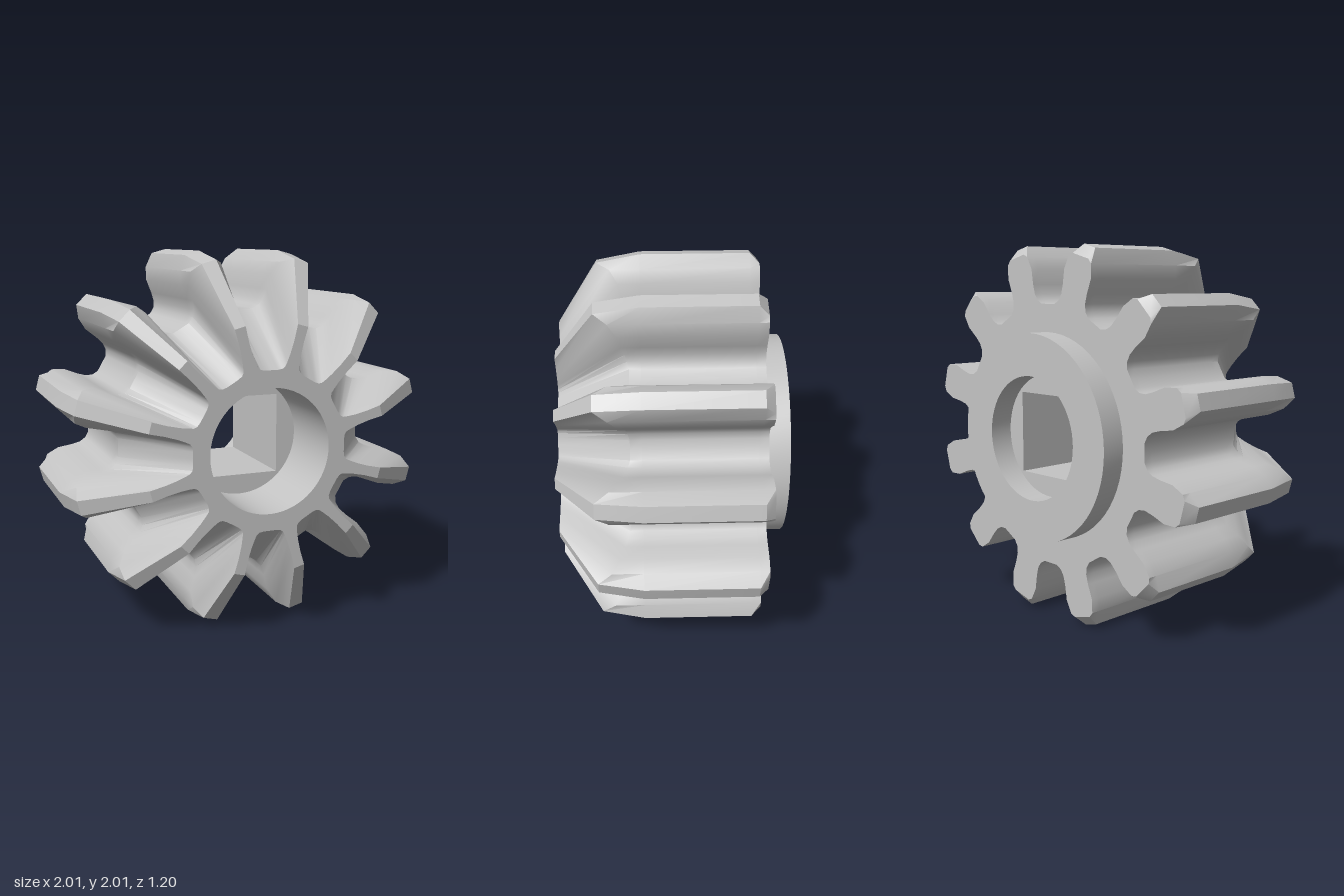
import * as THREE from 'three';
import { toCreasedNormals } from 'three/addons/utils/BufferGeometryUtils.js';

const TEETH = 12, BORE = 0.33, HUB = 0.553, FRONT = 0.6, BACK = -0.47;

// Half of a tooth gap (x from its middle, y from the axis), root to tip
const flank = [[0, 0.7], [0.05, 0.7], [0.083, 0.718], [0.105, 0.75],
  [0.118, 0.8], [0.13, 0.88], [0.165, 0.945]];
const frontGap = [[0, 0.42], [0.035, 0.42], [0.06, 0.424], [0.075, 0.435],
  [0.086, 0.458], [0.103, 0.5], [0.124, 0.567], [0.142, 0.645]];
const atDepth = (gap, z) => gap.map(([x, y]) => [x, y, z]);

// Curved ridge where the tapered front meets the straight teeth
const ridgeDepth = [0.22, 0.22, 0.23, 0.24, 0.255, 0.275, 0.32];
const ridge = [...flank.map(([x, y], i) => [x, y, ridgeDepth[i]]), [0.216, 0.962, 0.39]];

// Cross-sections from the front to the chamfered back
const sections = [
  atDepth(frontGap, FRONT),
  ridge,
  atDepth([...flank, [0.225, 1.003]], 0.16),
  atDepth([...flank, [0.225, 1.003]], -0.42),
  atDepth([...flank, [0.195, 0.957]], BACK),
];

// Mirror the half gap and repeat it clockwise around the axis
function outline(gap) {
  const whole = [...gap.slice(1).reverse().map(([x, y, z]) => [-x, y, z]), ...gap];
  const points = [];
  for (let k = 0; k < TEETH; k++) {
    const a = (k / TEETH) * Math.PI * 2, c = Math.cos(a), s = Math.sin(a);
    for (const [x, y, z] of whole) points.push(new THREE.Vector3(x * c + y * s, y * c - x * s, z));
  }
  return points;
}

// Skin the cross-sections together
function loftTeeth() {
  const rings = sections.map(outline), n = rings[0].length, index = [];
  for (let i = 0; i < rings.length - 1; i++) {
    for (let j = 0; j < n; j++) {
      const a = i * n + j, b = i * n + (j + 1) % n;
      index.push(a, b, a + n, b, b + n, a + n);
    }
  }
  const geometry = new THREE.BufferGeometry().setFromPoints(rings.flat());
  geometry.setIndex(index);
  return toCreasedNormals(geometry, 0.6);
}

function circle(radius, Type = THREE.Path) {
  return new Type().absarc(0, 0, radius, 0, Math.PI * 2, false);
}

function faceWithBore(gap) {
  const shape = new THREE.Shape(outline(gap));
  shape.holes.push(circle(BORE));
  return new THREE.ShapeGeometry(shape, 32);
}

function slab(shape, hole, z0, z1) {
  shape.holes.push(hole);
  const geometry = new THREE.ExtrudeGeometry(shape, {
    depth: z1 - z0, bevelEnabled: false, curveSegments: 32,
  }).translate(0, 0, z0);
  return toCreasedNormals(geometry, 0.5);
}

export function createModel() {
  const model = new THREE.Group();
  model.name = 'pinionGear';
  const gear = new THREE.Group();
  gear.name = 'gear';
  gear.position.y = 1;
  model.add(gear);

  const metal = new THREE.MeshStandardMaterial({ color: 0xc4c4c4 });
  metal.name = 'greyMetal';
  const add = (name, geometry) => {
    const mesh = new THREE.Mesh(geometry, metal);
    mesh.name = name;
    gear.add(mesh);
  };

  // Toothed body and its two end faces
  add('teeth', loftTeeth());
  add('frontFace', faceWithBore(sections[0]).translate(0, 0, FRONT));
  add('backFace', faceWithBore(sections.at(-1)).rotateY(Math.PI).translate(0, 0, BACK));

  // Raised ring behind the body
  add('rearHub', slab(circle(HUB, THREE.Shape), circle(BORE), -0.6, BACK));

  // Round front bore, facing inward
  const socketFront = 0.18;
  const boreProfile = [new THREE.Vector2(BORE, FRONT), new THREE.Vector2(BORE, socketFront)];
  add('frontBore', new THREE.LatheGeometry(boreProfile, 64).rotateX(Math.PI / 2));

  // Inner core with the square drive hole
  const h = 0.22;
  const square = new THREE.Path([[-h, -h], [-h, h], [h, h], [h, -h]].map(p => new THREE.Vector2(...p)));
  square.closePath();
  add('squareSocket', slab(circle(BORE, THREE.Shape), square, BACK, socketFront));

  return model;
}
